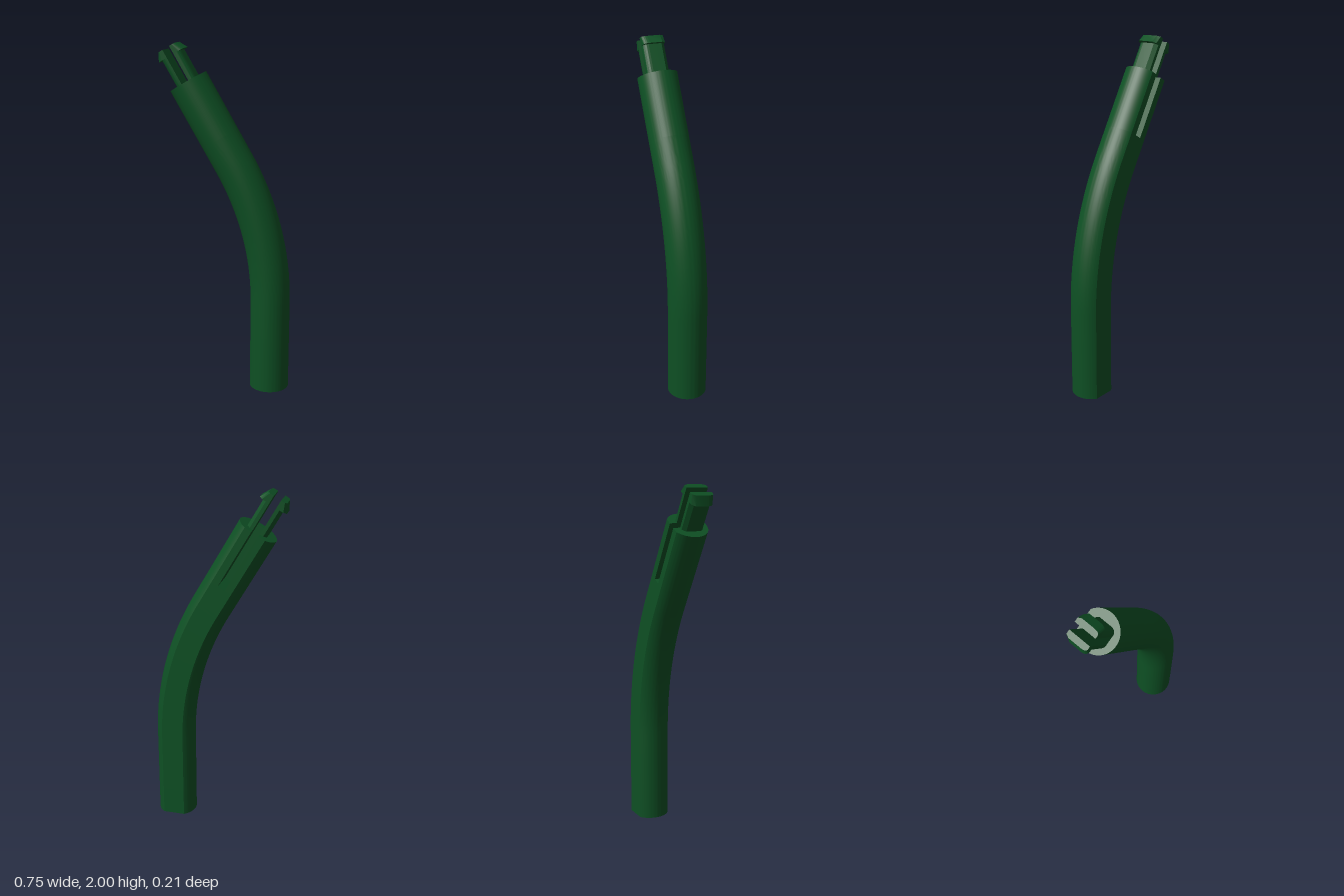
import * as THREE from 'three';
import { toCreasedNormals } from 'three/addons/utils/BufferGeometryUtils.js';

// Centre line: straight up, a 30 degree arc, then straight again
const BASE = 0.53, R = 1.616, ANGLE = Math.PI / 6, START_X = 0.26;
const ARC = R * ANGLE, END = BASE + ARC + 0.522, SLOT = 0.36;

// Extrude a shape (x across, y backwards) and bend it along the centre line
function sweep(shape, from, to, steps, taper) {
  const geo = new THREE.ExtrudeGeometry(shape, {
    depth: to - from, steps, bevelEnabled: false, curveSegments: 40,
  });
  const p = geo.attributes.position;
  for (let i = 0; i < p.count; i++) {
    const s = from + p.getZ(i);
    const u = taper ? taper(p.getX(i), p.getZ(i) / (to - from)) : p.getX(i);
    const a = THREE.MathUtils.clamp((s - BASE) / R, 0, ANGLE);
    const straight = Math.min(s, BASE);
    const extra = Math.max(0, s - BASE - ARC);
    const x = START_X - R * (1 - Math.cos(a)) - extra * Math.sin(a) + u * Math.cos(a);
    const y = straight + R * Math.sin(a) + extra * Math.cos(a) + u * Math.sin(a);
    p.setXYZ(i, x, y, -p.getY(i));
  }
  return toCreasedNormals(geo, 0.5);
}

// Round section with a flat back, optionally slotted from the back
function stemShape(slotted) {
  const r = 0.114, c = 0.01, flat = 0.105, a = Math.asin((flat - c) / r);
  const s = new THREE.Shape();
  s.absarc(0, c, r, Math.PI - a, 2 * Math.PI + a, false);
  if (slotted) {
    s.lineTo(0.022, flat);
    s.lineTo(0.022, -0.062);
    s.lineTo(-0.022, -0.062);
    s.lineTo(-0.022, flat);
  }
  s.closePath();
  return s;
}

// Prong section: flat inside, rounded front corner, chamfered back corner
function prongShape(side, outer) {
  const s = new THREE.Shape();
  s.moveTo(side * 0.022, -0.062);
  s.lineTo(side * (outer - 0.032), -0.062);
  s.quadraticCurveTo(side * outer, -0.062, side * outer, -0.025);
  s.lineTo(side * outer, 0.045);
  s.lineTo(side * (outer - 0.018), 0.065);
  s.lineTo(side * 0.022, 0.065);
  s.closePath();
  return s;
}

export function createModel() {
  const group = new THREE.Group();
  group.name = 'bentStem';
  const green = new THREE.MeshStandardMaterial({ color: 0x0e5024 });
  green.name = 'darkGreen';
  const add = (name, geo) => {
    const mesh = new THREE.Mesh(geo, green);
    mesh.name = name;
    group.add(mesh);
  };

  add('stem', sweep(stemShape(false), 0, END - SLOT, 64));
  add('slottedEnd', sweep(stemShape(true), END - SLOT, END, 1));

  // Pair of clip prongs with tapered barbs
  for (const side of [1, -1]) {
    const label = side > 0 ? 'left' : 'right';
    const narrow = (x, t) => {
      const inner = side * 0.022;
      return inner + (x - inner) * THREE.MathUtils.lerp(1, 0.56, t);
    };
    add(label + 'Prong', sweep(prongShape(side, 0.06), END, END + 0.165, 1));
    add(label + 'Barb', sweep(prongShape(side, 0.083), END + 0.165, END + 0.213, 1, narrow));
  }
  return group;
}
